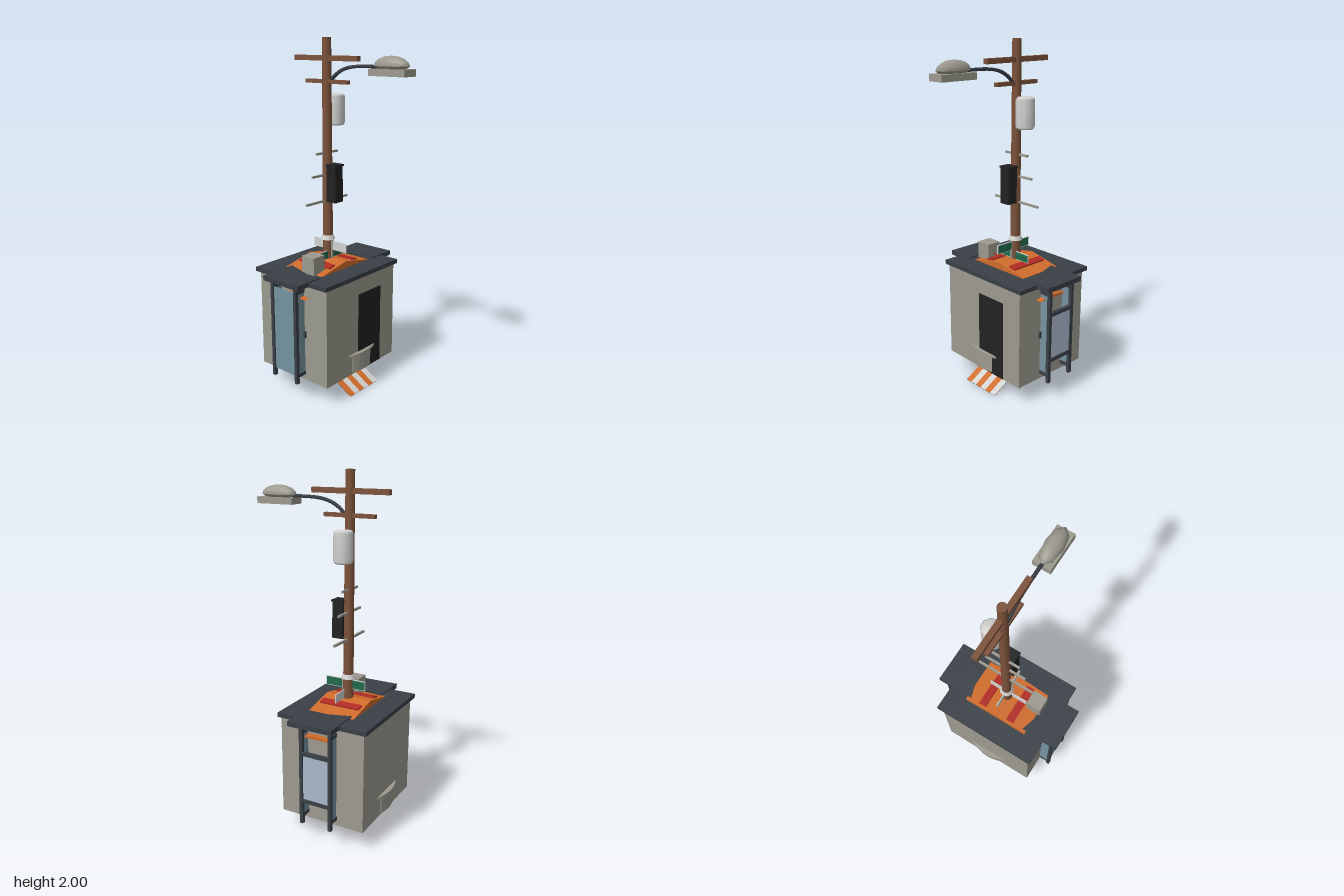
import * as THREE from 'three';

const mat = (name, color, side = THREE.FrontSide) => {
  const m = new THREE.MeshStandardMaterial({ color, side });
  m.name = name;
  return m;
};

export function createModel() {
  const root = new THREE.Group();
  root.name = 'kioskWithPole';
  const grey = mat('concreteGrey', 0x9c9a8f);
  const slate = mat('slate', 0x3a4047);
  const orange = mat('orange', 0xd06c2b, THREE.DoubleSide);
  const black = mat('black', 0x222222);
  const wood = mat('wood', 0x7d533b);
  const white = mat('white', 0xd2d2d0, THREE.DoubleSide);
  const green = mat('signGreen', 0x1f6b4a);
  const red = mat('red', 0xb32b24);
  const teal = mat('tealGlass', 0x7593a0);
  const pale = mat('paleGlass', 0xaab8cc);
  const ZC = -0.137; // pole and body centre line

  const add = (name, geo, m, x = 0, y = 0, z = 0) => {
    const mesh = new THREE.Mesh(geo, m);
    mesh.name = name;
    mesh.position.set(x, y, z);
    root.add(mesh);
    return mesh;
  };
  // box given by its limits
  const box = (name, m, x0, x1, y0, y1, z0, z1) =>
    add(name, new THREE.BoxGeometry(x1 - x0, y1 - y0, z1 - z0), m,
      (x0 + x1) / 2, (y0 + y1) / 2, (z0 + z1) / 2);
  const extrude = (pts, depth) => new THREE.ExtrudeGeometry(
    new THREE.Shape(pts.map(p => new THREE.Vector2(...p))), { depth, bevelEnabled: false });
  // plan outline (x, z) extruded upwards from y
  const slab = (name, m, pts, y, height) => {
    const geo = extrude(pts.map(([x, z]) => [x, -z]), height);
    geo.rotateX(-Math.PI / 2);
    return add(name, geo, m, 0, y, 0);
  };

  // Body, door and main roof slab
  box('body', grey, -0.3, 0.3, 0.12, 0.7, -0.39, 0.117);
  box('door', black, -0.03, 0.17, 0.122, 0.595, 0.115, 0.121);
  box('roofSlab', slate, -0.32, 0.32, 0.696, 0.721, -0.41, 0.13);

  // Low gable on the roof with red strips
  add('roofGable', extrude([[-0.235, 0.715], [0.235, 0.715], [0, 0.761]], 0.277), orange, 0, 0, -0.278);
  for (const s of [-1, 1]) {
    const strip = add('redStrip', new THREE.BoxGeometry(0.047, 0.012, 0.24), red, s * 0.094, 0.745, -0.14);
    strip.rotation.z = -s * 0.19;
  }
  box('redPipe', red, -0.135, -0.075, 0.752, 0.759, -0.093, -0.086);
  box('roofUnit', grey, -0.222, -0.132, 0.722, 0.822, -0.135, -0.045);

  // Side bays: roof, posts, panes, hoods
  for (const s of [-1, 1]) {
    slab('bayRoof', slate, [[s * 0.18, -0.255], [s * 0.408, -0.255], [s * 0.408, 0.01],
      [s * 0.235, 0.01], [s * 0.235, -0.08]], 0.7, 0.028);
    const sx = (name, m, a, b, ...r) => box(name, m, Math.min(s * a, s * b), Math.max(s * a, s * b), ...r);
    for (const z of [-0.05, -0.225]) {
      sx('bayPost', slate, 0.355, 0.375, 0.12, z === -0.05 ? 0.73 : 0.7, z - 0.01, z + 0.01);
      sx('bayReturnPane', teal, 0.3, 0.356, 0.17, 0.65, z - 0.003, z + 0.003);
      for (const y of [0.155, 0.65]) sx('bayReturnRail', slate, 0.3, 0.356, y, y + 0.02, z - 0.007, z + 0.007);
    }
    sx('bayHandle', slate, 0.3, 0.31, 0.38, 0.42, -0.06, -0.035);
    const hood = extrude([[-0.1, 0], [0.1, 0], [0.05, 0.012], [0, 0.016], [-0.05, 0.012]], 0.035);
    hood.rotateY(Math.PI / 2);
    add('bayHood', hood, orange, s > 0 ? 0.3 : -0.335, 0.62, -0.11);
  }
  box('framedPane', pale, 0.361, 0.368, 0.27, 0.53, -0.216, -0.059);
  for (const y of [0.25, 0.53]) box('frameRail', slate, 0.355, 0.376, y, y + 0.02, -0.216, -0.059);
  box('tallPane', teal, -0.367, -0.36, 0.165, 0.66, -0.216, -0.059);

  // Bowed ledges on the front and back walls
  for (const s of [1, -1]) {
    const wall = s > 0 ? 0.116 : -0.389;
    const bow = (w, d) => [-1, -0.75, -0.4, 0, 0.4, 0.75, 1].map(t =>
      [t * w, wall + s * (0.004 + d * (1 - t * t))]).concat([[w, wall], [-w, wall]]);
    slab('ledge', grey, bow(0.118, 0.025), 0.232, 0.014);
    slab('ledgeBase', grey, bow(0.083, 0.015), 0.13, 0.103);
  }

  // Striped ramp under the body, dark below
  const dy = -0.112, dz = 0.2, len = Math.hypot(dy, dz), tilt = Math.atan2(-dy, dz);
  const ramp = new THREE.Group();
  ramp.name = 'stripedRamp';
  ramp.position.set(0, 0.058, 0.04);
  ramp.rotation.x = tilt;
  root.add(ramp);
  const rampPart = (name, w, h, m, x, y) => {
    const p = new THREE.Mesh(new THREE.BoxGeometry(w, h, len), m);
    p.name = name;
    p.position.set(x, y, 0);
    ramp.add(p);
  };
  rampPart('rampUnderside', 0.25, 0.002, slate, 0, -0.001);
  for (let i = 0; i < 6; i++)
    rampPart('rampStripe', 0.25 / 6, 0.002, i % 2 ? white : orange, -0.125 + (i + 0.5) * 0.25 / 6, 0.001);
  const bracket = extrude([[0.065, 0.122], [0.065, 0.095], [0.12, 0.082], [0.135, 0.05], [0.135, 0.122]], 0.24);
  bracket.rotateY(Math.PI / 2);
  add('rampBracket', bracket, grey, -0.12, 0, 0);

  // Underside fittings
  box('undersidePlate', orange, -0.1, 0.16, 0.116, 0.121, -0.28, -0.14);
  for (const [x, z] of [[0.03, -0.22], [0.2, -0.09], [-0.17, -0.25], [0.12, -0.2]])
    box('undersideFitting', black, x - 0.03, x + 0.03, 0.114, 0.12, z - 0.025, z + 0.025);

  // Pole, cross beams and collar
  add('pole', new THREE.CylinderGeometry(0.025, 0.03, 1.28, 10), wood, 0, 1.36, ZC);
  box('upperBeam', wood, -0.015, 0.015, 1.877, 1.905, -0.365, 0.088);
  box('lowerBeam', wood, -0.014, 0.014, 1.756, 1.777, -0.285, 0.015);
  add('collar', new THREE.CylinderGeometry(0.033, 0.042, 0.025, 10), white, 0, 0.884, ZC);
  box('conduit', grey, -0.006, 0.006, 0.74, 0.87, -0.109, -0.1);

  // Rungs and black equipment box
  for (const [y, w] of [[1.1, 0.174], [1.25, 0.123], [1.375, 0.088]])
    box('rung', grey, -w, w, y - 0.006, y + 0.006, -0.146, -0.134);
  box('equipmentBox', black, -0.033, 0.031, 1.1, 1.305, -0.115, -0.05);
  box('equipmentLid', black, -0.038, 0.036, 1.305, 1.315, -0.118, -0.046);

  // Crossed signs: pale plate with a green face on both sides
  box('crossSignPlate', white, -0.125, 0.122, 0.756, 0.806, -0.126, -0.12);
  box('crossSignFace', green, -0.121, 0.118, 0.76, 0.802, -0.123, -0.118);
  box('longSignPlate', white, -0.003, 0.003, 0.81, 0.864, -0.243, 0.003);
  box('longSignFace', green, 0, 0.005, 0.814, 0.86, -0.239, -0.001);

  // Transformer can
  const can = [[0, 0], [0.046, 0], [0.053, 0.012], [0.053, 0.16], [0.044, 0.171], [0, 0.176]]
    .map(p => new THREE.Vector2(...p));
  add('transformer', new THREE.LatheGeometry(can, 10), white, 0.07, 1.525, ZC);

  // Street lamp on a curved arm
  const arm = new THREE.CatmullRomCurve3([[1.745, -0.125], [1.79, -0.09], [1.83, -0.03], [1.85, 0.05], [1.855, 0.22]]
    .map(([y, z]) => new THREE.Vector3(0, y, z)));
  add('lampArm', new THREE.TubeGeometry(arm, 14, 0.01, 6), slate);
  box('lampTray', grey, -0.05, 0.05, 1.81, 1.846, 0.19, 0.414);
  const dome = new THREE.SphereGeometry(1, 8, 4, 0, Math.PI * 2, 0, Math.PI / 2);
  dome.scale(0.05, 0.052, 0.113);
  add('lampDome', dome, grey, 0, 1.859, 0.3);
  const skirt = new THREE.CylinderGeometry(1, 0.75, 0.016, 8);
  skirt.scale(0.05, 1, 0.113);
  add('lampSkirt', skirt, grey, 0, 1.852, 0.3);

  return root;
}
